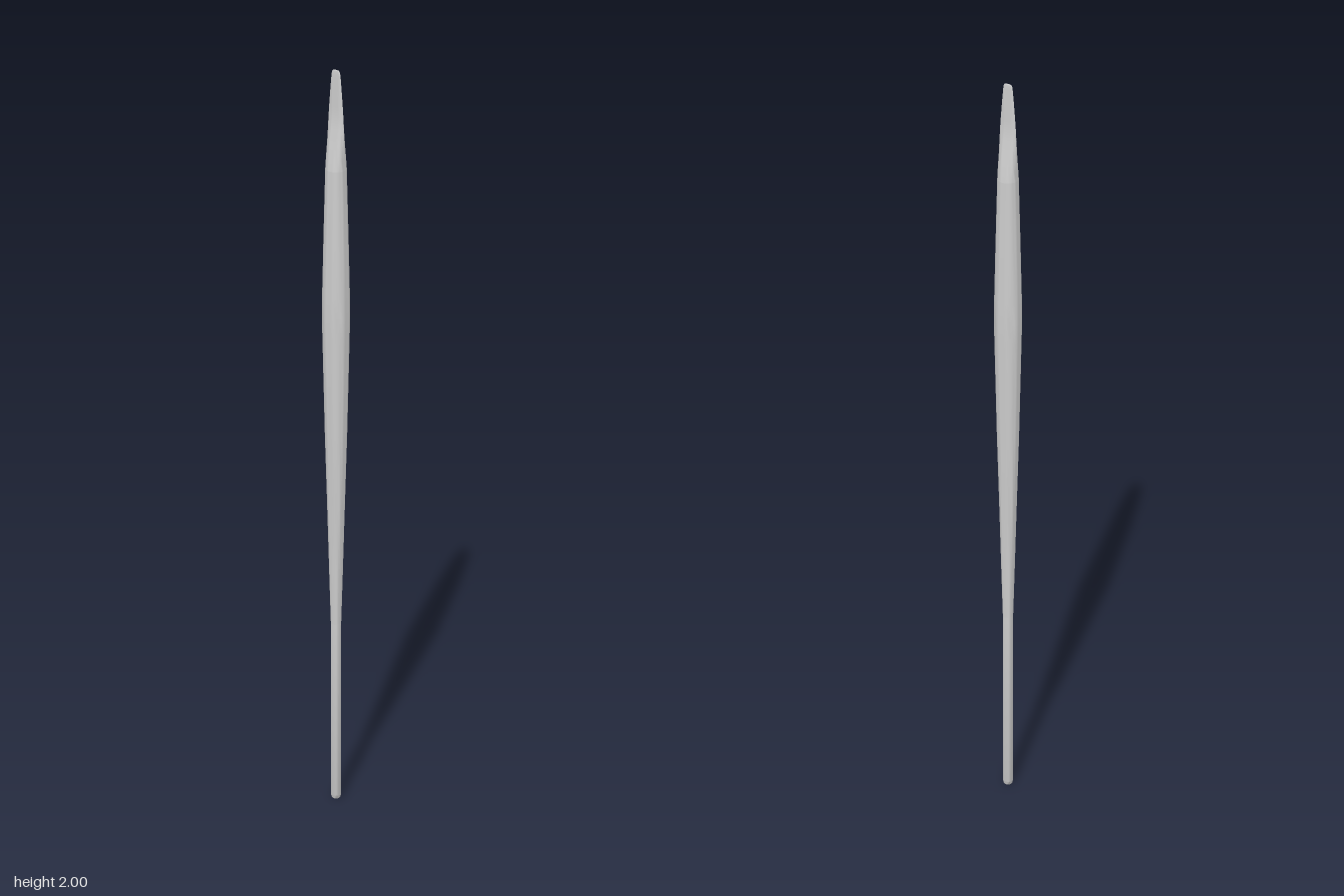
import * as THREE from 'three';
import { mergeVertices, toCreasedNormals } from 'three/addons/utils/BufferGeometryUtils.js';

// Lofts elliptical rings [y, halfWidthX, halfDepthZ] by squashing a lathe
function loft(rings, segments = 32) {
  const geo = new THREE.LatheGeometry(rings.map(([y, rx]) => new THREE.Vector2(rx, y)), segments);
  const pos = geo.attributes.position;
  for (let i = 0; i < pos.count; i++) {
    const [, rx, rz] = rings[i % rings.length];
    if (rx > 0) pos.setZ(i, pos.getZ(i) * rz / rx);
  }
  geo.deleteAttribute('normal');
  geo.deleteAttribute('uv');
  return toCreasedNormals(mergeVertices(geo, 1e-5), 0.7);
}

const round = (y, r) => [y, r, r];

export function createModel() {
  const group = new THREE.Group();
  const material = new THREE.MeshStandardMaterial({ color: 0xcccccc });
  const add = (name, rings) => {
    const mesh = new THREE.Mesh(loft(rings), material);
    mesh.name = name;
    group.add(mesh);
  };

  // Slim rod with a rounded butt
  add('rod', [
    round(0, 0), round(0, 0.008), round(0.003, 0.011), round(0.01, 0.0128), round(0.48, 0.0132),
  ]);

  // Swelling grip, thickest at two thirds of the height
  add('grip', [
    round(0.48, 0.0132), round(0.6, 0.0168), round(0.8, 0.0225), round(1.0, 0.0285),
    round(1.15, 0.032), round(1.27, 0.0348), round(1.33, 0.036), round(1.39, 0.0352),
    round(1.55, 0.0318), round(1.73, 0.0275),
  ]);

  // Tip pinched front to back into a thin blade with a rounded end
  add('bladeTip', [
    [1.73, 0.0275, 0.0275], [1.76, 0.0268, 0.0232], [1.8, 0.0256, 0.0155], [1.84, 0.0243, 0.0085],
    [1.87, 0.0232, 0.0038], [1.9, 0.0212, 0.0036], [1.95, 0.0172, 0.0034], [1.985, 0.014, 0.0033],
    [1.996, 0.0122, 0.0033], [2, 0.0095, 0.003], [2, 0, 0],
  ]);

  return group;
}
